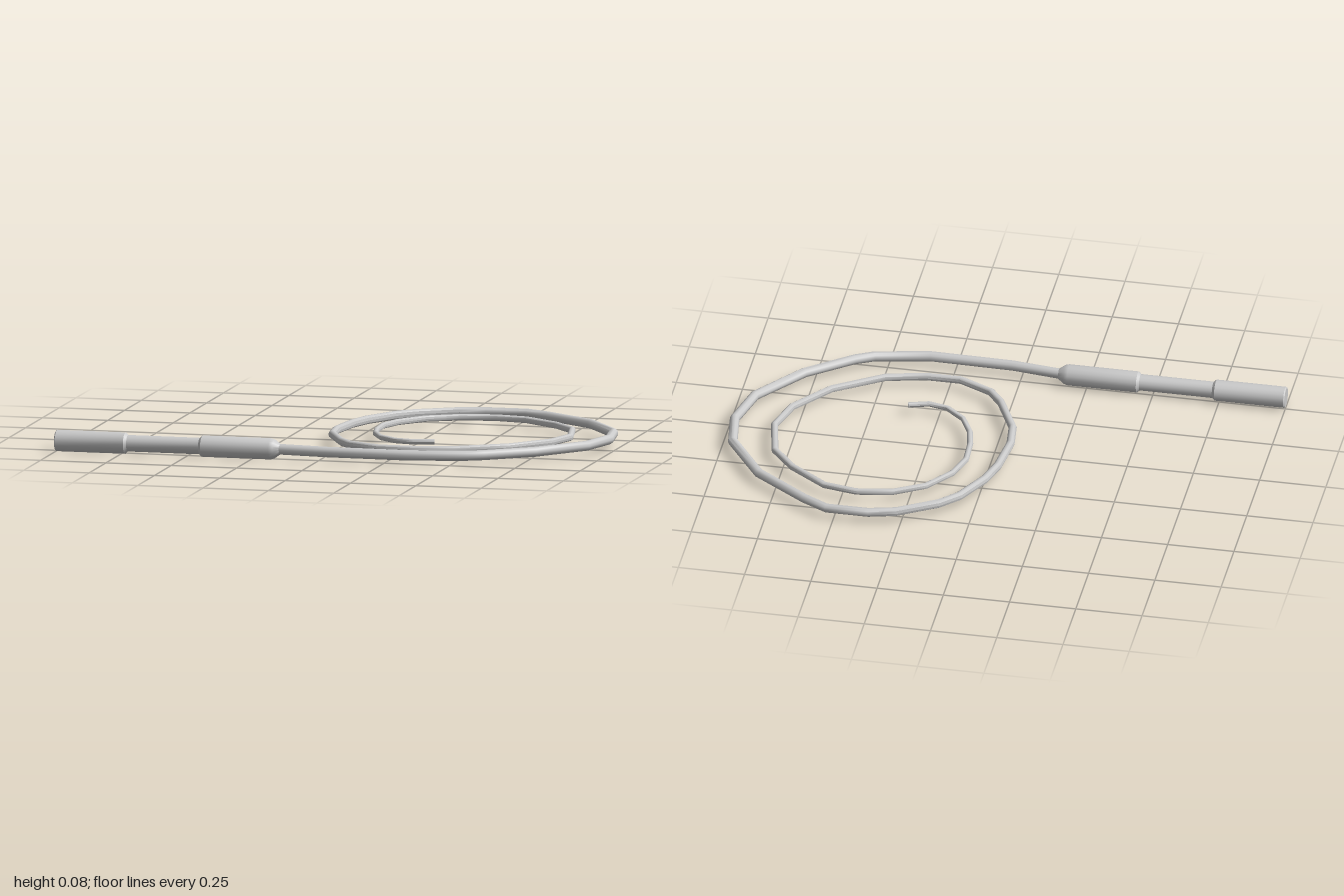
import * as THREE from 'three';
import { toCreasedNormals } from 'three/addons/utils/BufferGeometryUtils.js';

const material = new THREE.MeshStandardMaterial({ color: 0xcccccc });
const AXIS_Y = 0.04;

// Flat path of the coiled lash as [x, z], from the handle to the tip
const lashPath = [
  [-0.17, 0.515], [0.035, 0.54], [0.345, 0.545], [0.55, 0.505], [0.62, 0.47],
  [0.785, 0.345], [0.935, 0.155], [0.978, -0.015], [0.955, -0.17], [0.82, -0.365],
  [0.62, -0.505], [0.527, -0.555], [0.37, -0.555], [0.27, -0.53], [0.125, -0.445],
  [0.06, -0.38], [-0.01, -0.25], [-0.04, -0.15], [-0.058, 0.01], [-0.045, 0.12],
  [0.03, 0.28], [0.08, 0.345], [0.205, 0.405], [0.335, 0.405], [0.485, 0.37],
  [0.665, 0.255], [0.785, 0.105], [0.825, -0.03], [0.79, -0.2], [0.705, -0.3],
  [0.565, -0.4], [0.44, -0.422], [0.31, -0.4], [0.195, -0.335], [0.115, -0.23],
  [0.083, -0.13], [0.088, -0.02], [0.105, 0.06], [0.147, 0.145], [0.217, 0.205],
  [0.29, 0.222], [0.365, 0.2],
];

// Sweeps a tapering ring along a flat path, with mitred joints and a closed tip
function taperedSweep(path, startRadius, endRadius, sides) {
  const pts = path.map(([x, z]) => new THREE.Vector3(x, 0, z));
  const last = pts.length - 1;
  const up = new THREE.Vector3(0, 1, 0);
  const positions = [], index = [];
  pts.forEach((p, i) => {
    const before = p.clone().sub(pts[Math.max(i - 1, 0)]).normalize();
    const after = pts[Math.min(i + 1, last)].clone().sub(p).normalize();
    const tangent = before.add(after).normalize();
    const side = up.clone().cross(tangent);
    const r = THREE.MathUtils.lerp(startRadius, endRadius, i / last);
    for (let j = 0; j < sides; j++) {
      const a = (j / sides) * Math.PI * 2;
      const v = p.clone().addScaledVector(side, r * Math.cos(a)).addScaledVector(up, r * Math.sin(a));
      positions.push(v.x, v.y, v.z);
      if (i === last) continue;
      const k = (j + 1) % sides, n = i * sides, m = n + sides;
      index.push(n + j, n + k, m + j, n + k, m + k, m + j);
    }
  });
  positions.push(...pts[last].toArray());
  for (let j = 0; j < sides; j++) {
    index.push(pts.length * sides, last * sides + j, last * sides + ((j + 1) % sides));
  }
  const geometry = new THREE.BufferGeometry();
  geometry.setAttribute('position', new THREE.Float32BufferAttribute(positions, 3));
  geometry.setIndex(index);
  return toCreasedNormals(geometry, Math.PI / 4);
}

// Turned part along x, from [x, radius] pairs
function turned(name, profile) {
  const geometry = new THREE.LatheGeometry(profile.map(([x, r]) => new THREE.Vector2(r, x)), 16);
  geometry.rotateZ(-Math.PI / 2);
  const mesh = new THREE.Mesh(toCreasedNormals(geometry, Math.PI / 6), material);
  mesh.name = name;
  return mesh;
}

export function createModel() {
  const model = new THREE.Group();
  model.name = 'coiledWhip';

  // Handle: pommel, slim grip and thick collar that narrows onto the lash
  const handle = new THREE.Group();
  handle.name = 'handle';
  handle.position.set(0, AXIS_Y, 0.517);
  handle.add(
    turned('pommel', [[-1, 0], [-1, 0.036], [-0.996, 0.04], [-0.735, 0.04], [-0.725, 0.031]]),
    turned('grip', [[-0.725, 0.031], [-0.45, 0.031]]),
    turned('collar', [[-0.45, 0.031], [-0.44, 0.04], [-0.18, 0.04], [-0.165, 0.036], [-0.143, 0.02], [-0.143, 0]]),
  );
  model.add(handle);

  // Lash: flat coil thinning to the tip
  const lash = new THREE.Mesh(taperedSweep(lashPath, 0.02, 0.01, 10), material);
  lash.name = 'lash';
  lash.position.y = AXIS_Y;
  model.add(lash);

  return model;
}
